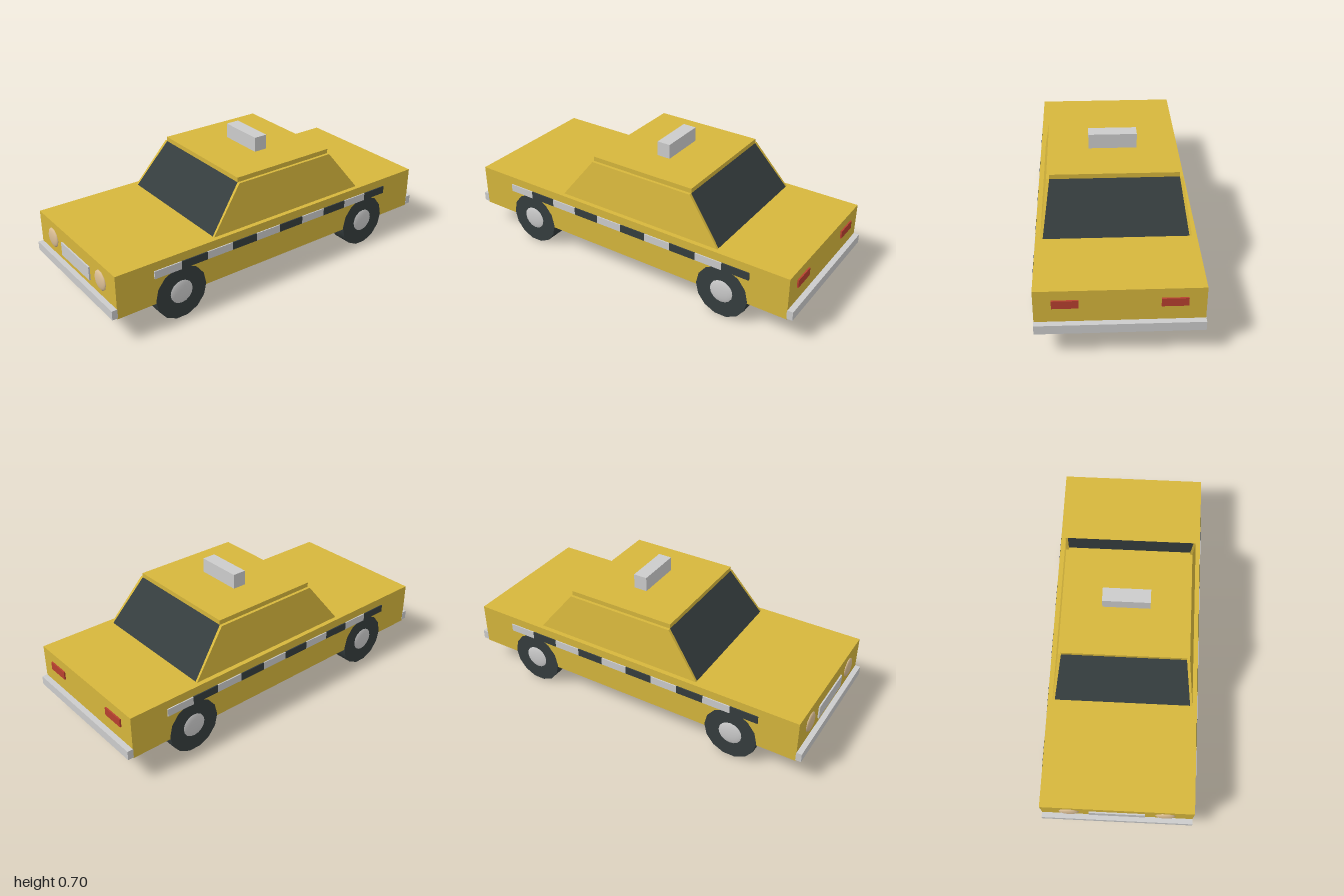
import * as THREE from 'three';

const mat = (name, color) => {
  const m = new THREE.MeshStandardMaterial({ color });
  m.name = name;
  return m;
};

export function createModel() {
  const car = new THREE.Group();
  car.name = 'taxi';
  const yellow = mat('yellow paint', 0xd6b63c);
  const silver = mat('silver', 0xcccccc);
  const dark = mat('dark glass and rubber', 0x353d3e);
  const lamp = mat('warm lamp', 0xdcbf96);
  const red = mat('red lamp', 0xb8402f);

  const add = (name, geometry, material, x = 0, y = 0, z = 0) => {
    const mesh = new THREE.Mesh(geometry, material);
    mesh.name = name;
    mesh.position.set(x, y, z);
    car.add(mesh);
    return mesh;
  };
  // box given by its lower and upper limits
  const box = (name, material, [x0, x1], [y0, y1], [z0, z1]) =>
    add(name, new THREE.BoxGeometry(x1 - x0, y1 - y0, z1 - z0), material,
      (x0 + x1) / 2, (y0 + y1) / 2, (z0 + z1) / 2);
  // six-sided block whose x and z limits differ between bottom and top
  const taper = (name, material, bottomX, topX) => {
    const g = new THREE.BoxGeometry(1, 1, 1);
    const p = g.attributes.position;
    for (let i = 0; i < p.count; i++) {
      const up = p.getY(i) > 0;
      const x = (up ? topX : bottomX)[p.getX(i) > 0 ? 1 : 0];
      const z = (up ? [-0.38, 0.22] : [-0.565, 0.4])[p.getZ(i) > 0 ? 1 : 0];
      p.setXYZ(i, x, up ? 0.6 : 0.368, z);
    }
    const flat = g.toNonIndexed();
    flat.computeVertexNormals();
    add(name, flat, material);
  };

  // body, roof and roof sign
  box('body', yellow, [-0.4, 0.4], [0.136, 0.368], [-0.97, 0.972]);
  box('roof', yellow, [-0.326, 0.326], [0.6, 0.625], [-0.38, 0.22]);
  box('roofSign', silver, [-0.126, 0.126], [0.625, 0.705], [-0.12, -0.045]);

  // cabin: dark glass core between painted side panels
  taper('windows', dark, [-0.363, 0.363], [-0.326, 0.326]);
  taper('leftCabinSide', yellow, [0.363, 0.375], [0.326, 0.342]);
  taper('rightCabinSide', yellow, [-0.375, -0.363], [-0.342, -0.326]);

  // bumpers and grille
  box('frontBumper', silver, [-0.401, 0.401], [0.142, 0.191], [0.97, 1]);
  box('rearBumper', silver, [-0.401, 0.401], [0.142, 0.191], [-1, -0.968]);
  box('grille', silver, [-0.149, 0.147], [0.222, 0.297], [0.971, 0.98]);

  for (const side of [-1, 1]) {
    const label = side > 0 ? 'left' : 'right';

    // lamps
    const head = add(label + 'Headlight', new THREE.SphereGeometry(0.054, 10, 10), lamp,
      side * 0.253, 0.276, 0.972);
    head.geometry.rotateX(Math.PI / 2);
    head.scale.z = 0.26;
    const tx = side * 0.253;
    box(label + 'TailLight', red, [tx - 0.063, tx + 0.063], [0.272, 0.316], [-0.978, -0.969]);

    // chequered stripe, turned half round on the other side
    for (let i = 0; i < 10; i++) {
      const z = -side * (0.684 - i * 0.1525);
      box(label + 'Stripe' + (i + 1), i % 2 ? silver : dark,
        side > 0 ? [0.398, 0.406] : [-0.406, -0.398], [0.28, 0.322], [z - 0.07625, z + 0.07625]);
    }

    // wheels with domed hubcaps
    for (const [end, z] of [['Front', 0.615], ['Rear', -0.61]]) {
      const tyre = new THREE.CylinderGeometry(0.146, 0.146, 0.109, 14).rotateZ(Math.PI / 2);
      add(label + end + 'Tyre', tyre, dark, side * 0.3458, 0.146, z);
      const hub = add(label + end + 'Hubcap', new THREE.SphereGeometry(0.073, 16, 12), silver,
        side * 0.392, 0.15, z);
      hub.geometry.rotateZ(Math.PI / 2);
      hub.scale.x = 0.24;
    }
  }
  return car;
}
